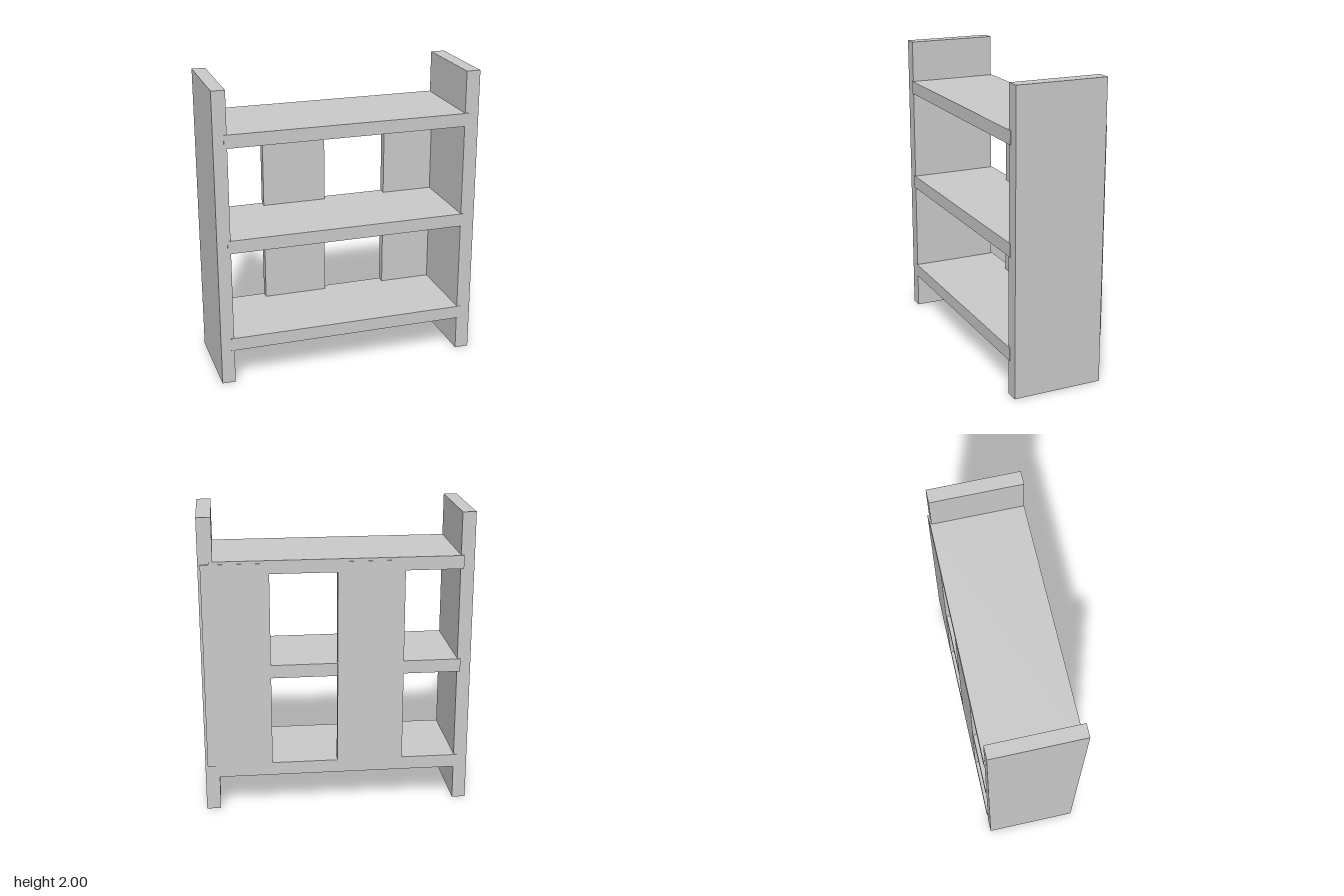
import * as THREE from 'three';

const material = new THREE.MeshStandardMaterial({ color: 0xcccccc, flatShading: true });

// Box given by its extents on each axis
function board(name, [x0, x1], [y0, y1], [z0, z1]) {
  const mesh = new THREE.Mesh(new THREE.BoxGeometry(x1 - x0, y1 - y0, z1 - z0), material);
  mesh.name = name;
  mesh.position.set((x0 + x1) / 2, (y0 + y1) / 2, (z0 + z1) / 2);
  return mesh;
}

export function createModel() {
  const group = new THREE.Group();
  group.name = 'shelfUnit';

  // Upright side panels
  group.add(board('leftSide', [0.793, 0.887], [0, 2], [-0.3, 0.306]));
  group.add(board('rightSide', [-0.887, -0.798], [0, 2], [-0.3, 0.306]));

  // Three shelves, let into the sides and just proud of them
  [['bottomShelf', 0.235], ['middleShelf', 0.927], ['topShelf', 1.63]].forEach(([name, y]) =>
    group.add(board(name, [-0.818, 0.818], [y, y + 0.088], [-0.309, 0.31])));

  // Two vertical back planks
  [['centreBackPlank', -0.438, 0], ['leftBackPlank', 0.438, 0.872]].forEach(([name, x0, x1]) =>
    group.add(board(name, [x0, x1], [0.315, 1.7], [-0.312, -0.255])));

  return group;
}
